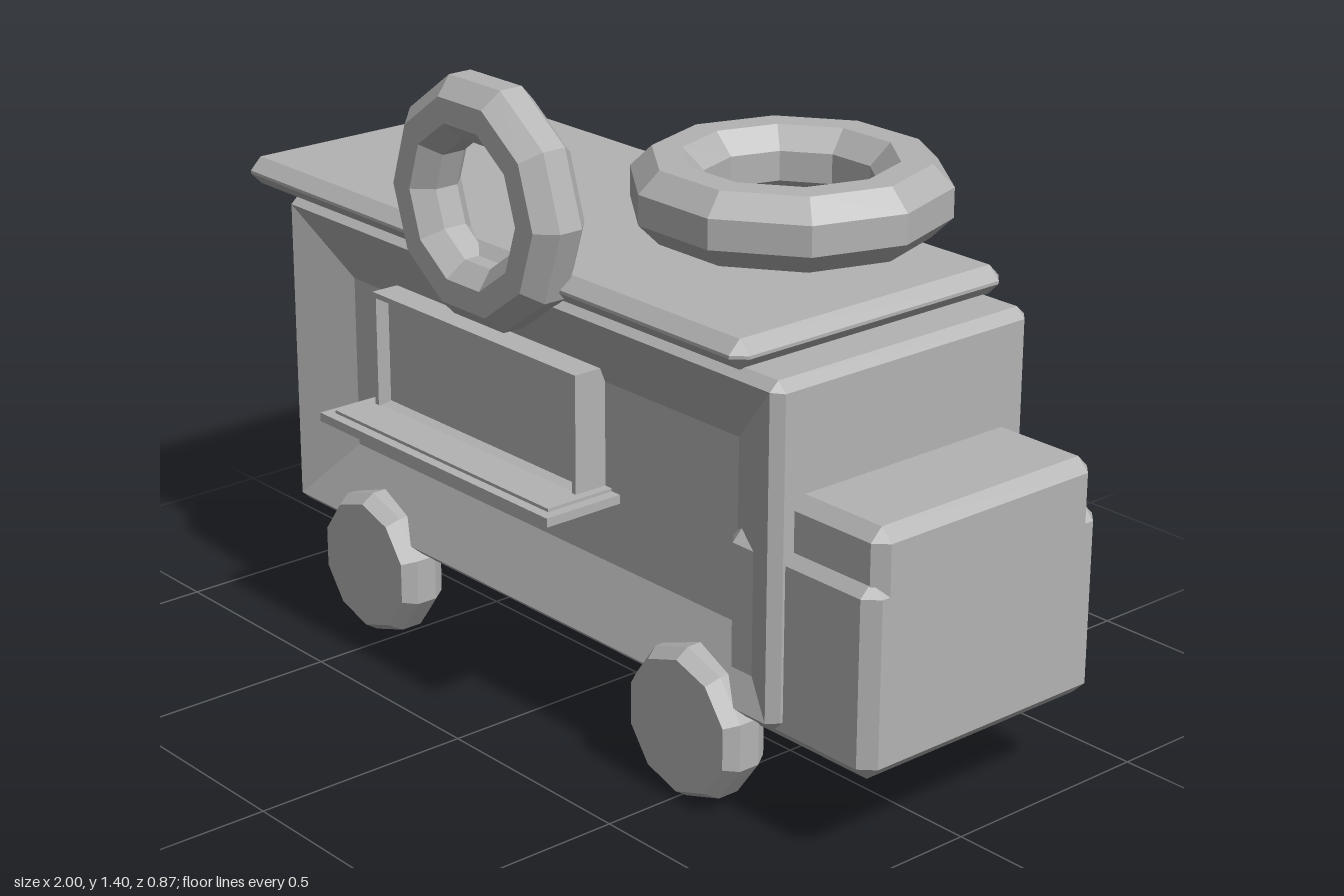
import * as THREE from 'three';

const grey = new THREE.MeshStandardMaterial({ color: 0xb3b3b3, flatShading: true });
grey.name = 'plain grey';

// Closed solid lofted along z through rectangles [z, x0, x1, y0, y1, cornerCut]
function loft(rings) {
  const loops = rings.map(([z, x0, x1, y0, y1, c = 0]) => [
    [x0 + c, y0], [x1 - c, y0], [x1, y0 + c], [x1, y1 - c],
    [x1 - c, y1], [x0 + c, y1], [x0, y1 - c], [x0, y0 + c],
  ].map(([x, y]) => new THREE.Vector3(x, y, z)));
  const pos = [];
  const tri = (a, b, c) => {
    const n = b.clone().sub(a).cross(c.clone().sub(a));
    if (n.length() > 1e-9) for (const p of [a, b, c]) pos.push(p.x, p.y, p.z);
  };
  for (let k = 0; k + 1 < loops.length; k++) {
    const a = loops[k], b = loops[k + 1];
    for (let i = 0; i < 8; i++) {
      const j = (i + 1) % 8;
      tri(a[i], a[j], b[j]);
      tri(a[i], b[j], b[i]);
    }
  }
  const first = loops[0], last = loops[loops.length - 1];
  for (let i = 1; i < 7; i++) {
    tri(first[0], first[i + 1], first[i]);
    tri(last[0], last[i], last[i + 1]);
  }
  const g = new THREE.BufferGeometry();
  g.setAttribute('position', new THREE.Float32BufferAttribute(pos, 3));
  g.computeVertexNormals();
  return g;
}

// Box with every edge chamfered by b
function chamferBox(x0, x1, y0, y1, z0, z1, b) {
  const inner = [x0 + b, x1 - b, y0 + b, y1 - b];
  const outer = [x0, x1, y0, y1, b];
  return loft([[z0, ...inner], [z0 + b, ...outer], [z1 - b, ...outer], [z1, ...inner]]);
}

// Ten-sided turned shape, axis along y
function turned(points) {
  const g = new THREE.LatheGeometry(points.map(([x, y]) => new THREE.Vector2(x, y)), 10).toNonIndexed();
  g.computeVertexNormals();
  return g;
}

// Ten-sided ring with an octagonal section
function ring(outer, hole) {
  const R = (outer + hole) / 2, t = (outer - hole) / 2 / Math.cos(Math.PI / 8);
  const section = [];
  for (let i = 0; i <= 8; i++) {
    const a = (i + 0.5) * Math.PI / 4;
    section.push([R + t * Math.cos(a), t * Math.sin(a)]);
  }
  return turned(section).rotateY(Math.PI / 2);
}

export function createModel() {
  const truck = new THREE.Group();
  truck.name = 'foodTruck';
  const add = (name, geometry, x = 0, y = 0, z = 0) => {
    const m = new THREE.Mesh(geometry, grey);
    m.name = name;
    m.position.set(x, y, z);
    truck.add(m);
    return m;
  };

  // Body with a sloping recess in each long side
  const panel = [-0.69, 0.59, 0.4, 0.8];
  const rim = [-0.84, 0.74, 0.25, 0.95];
  const shell = [-0.862, 0.762, 0.23, 0.97, 0.022];
  add('body', loft([
    [-0.34, ...panel], [-0.405, ...rim], [-0.383, ...shell],
    [0.278, ...shell], [0.3, ...rim], [0.24, ...panel],
  ]));

  // Overhanging roof
  add('roof', chamferBox(-1, 0.67, 0.967, 1.03, -0.43, 0.317, 0.028));

  // Cab: wide lower part, narrower upper part
  add('cabLower', chamferBox(0.58, 1, 0.2, 0.62, -0.38, 0.272, 0.03));
  add('cabUpper', chamferBox(0.6, 1, 0.21, 0.728, -0.355, 0.25, 0.028));

  // Serving window with a raised frame
  const inset = (d) => [-0.512 + d, 0.182 - d, 0.555 + d, 0.832 - d];
  add('servingWindow', loft([
    [0.22, ...inset(0)], [0.32, ...inset(0)], [0.32, ...inset(0.012)], [0.295, ...inset(0.024)],
  ]));

  // Counter shelf with thin plates above and below
  add('counterShelf', new THREE.BoxGeometry(0.79, 0.02, 0.215), -0.167, 0.553, 0.327);
  add('counterPlate', new THREE.BoxGeometry(0.74, 0.036, 0.17), -0.167, 0.552, 0.326);

  // Wheels
  const tyre = turned([[0, -0.056], [0.148, -0.056], [0.168, -0.025], [0.168, 0.025], [0.148, 0.056], [0, 0.056]])
    .rotateX(Math.PI / 2);
  for (const [end, x] of [['rear', -0.56], ['front', 0.51]])
    for (const [side, z] of [['Left', 0.275], ['Right', -0.378]])
      add(end + side + 'Wheel', tyre, x, 0.168, z);

  // Ring ornaments: one upright at the side, one lying above the roof
  add('uprightRing', ring(0.272, 0.137).rotateX(Math.PI / 2), -0.096, 1.137, 0.322);
  add('lyingRing', ring(0.332, 0.178), 0.413, 1.203, -0.055);

  return truck;
}
